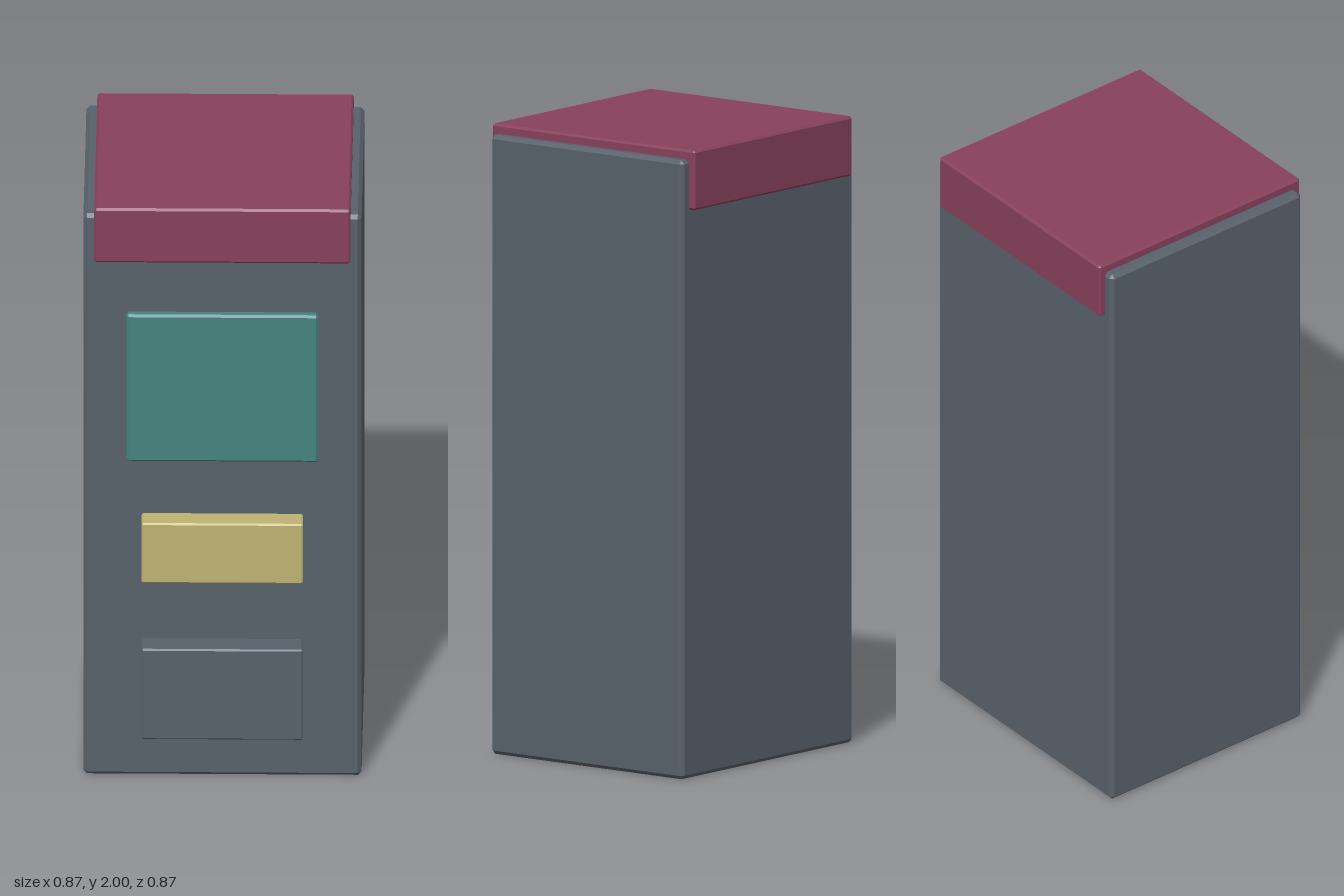
import * as THREE from 'three';
import { ConvexGeometry } from 'three/addons/geometries/ConvexGeometry.js';

const material = (name, color) => {
  const m = new THREE.MeshStandardMaterial({ color });
  m.name = name;
  return m;
};

// Box with single-step chamfers on every edge: three points near each corner
function chamferBox(w, h, d, c) {
  const points = [];
  for (const x of [-1, 1]) for (const y of [-1, 1]) for (const z of [-1, 1]) {
    for (let full = 0; full < 3; full++) {
      const inset = [c, c, c];
      inset[full] = 0;
      points.push(new THREE.Vector3(
        x * (w / 2 - inset[0]), y * (h / 2 - inset[1]), z * (d / 2 - inset[2])));
    }
  }
  return new ConvexGeometry(points);
}

export function createModel() {
  const group = new THREE.Group();
  group.name = 'kiosk';

  const slate = material('slate grey', 0x58616a);
  const maroon = material('maroon', 0x87415b);
  const teal = material('teal', 0x458380);
  const sand = material('sand yellow', 0xbfb373);

  // Part centred on x, spanning y0..y1 and z0..z1
  function part(name, width, [y0, y1], [z0, z1], chamfer, mat) {
    const mesh = new THREE.Mesh(chamferBox(width, y1 - y0, z1 - z0, chamfer), mat);
    mesh.name = name;
    mesh.position.set(0, (y0 + y1) / 2, (z0 + z1) / 2);
    group.add(mesh);
  }

  part('cabinet', 0.872, [0, 1.97], [-0.411, 0.355], 0.012, slate);
  part('header', 0.804, [1.81, 2.0], [-0.433, 0.375], 0.007, maroon);
  part('screen', 0.602, [1.115, 1.63], [0.335, 0.381], 0.007, teal);
  part('controlPanel', 0.506, [0.712, 0.922], [0.33, 0.429], 0.005, sand);
  part('dispenserTray', 0.506, [0.165, 0.482], [0.33, 0.433], 0.005, slate);

  return group;
}
